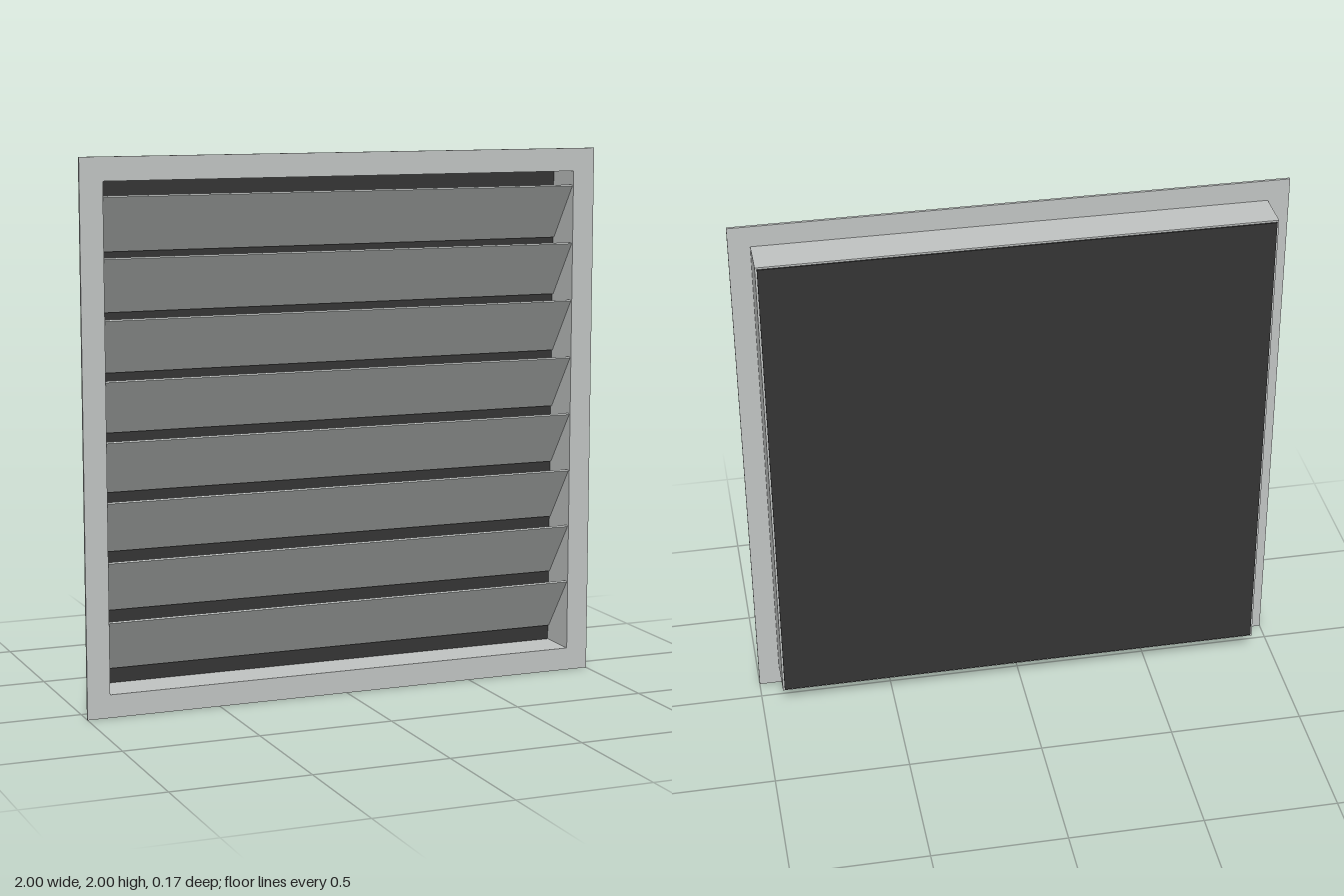
import * as THREE from 'three';

// Square ring lying in the xy plane, extruded along z from z0 to z1
function squareRing(outer, inner, z0, z1) {
  const trace = (path, h) => {
    path.moveTo(-h, -h);
    path.lineTo(h, -h);
    path.lineTo(h, h);
    path.lineTo(-h, h);
    path.closePath();
    return path;
  };
  const shape = trace(new THREE.Shape(), outer);
  shape.holes.push(trace(new THREE.Path(), inner));
  const geometry = new THREE.ExtrudeGeometry(shape, { depth: z1 - z0, bevelEnabled: false });
  geometry.translate(0, 1, z0);
  return geometry;
}

export function createModel() {
  const metal = new THREE.MeshStandardMaterial({ name: 'light grey metal', color: 0xc0c3c2 });
  const mesh = new THREE.MeshStandardMaterial({ name: 'dark screen', color: 0x343434 });

  const model = new THREE.Group();
  model.name = 'louvreVent';
  const add = (name, geometry, material, parent = model) => {
    const part = new THREE.Mesh(geometry, material);
    part.name = name;
    parent.add(part);
    return part;
  };

  // Thin front flange and the deeper duct collar behind it
  add('flange', squareRing(1, 0.915, 0.073, 0.083), metal);
  add('collar', squareRing(0.922, 0.915, -0.078, 0.073), metal);

  // Backing screen
  const screen = add('screen', new THREE.BoxGeometry(1.83, 1.83, 0.005), mesh);
  screen.position.set(0, 1, -0.0805);

  // Eight slanted slats, upper edge to the front
  const slats = new THREE.Group();
  slats.name = 'slats';
  model.add(slats);
  const slatGeometry = new THREE.BoxGeometry(1.83, 0.25, 0.008);
  for (let i = 0; i < 8; i++) {
    const slat = add('slat', slatGeometry, metal, slats);
    slat.position.set(0, 1.76 - i * 0.2165, -0.001);
    slat.rotation.x = 0.625;
  }

  return model;
}
